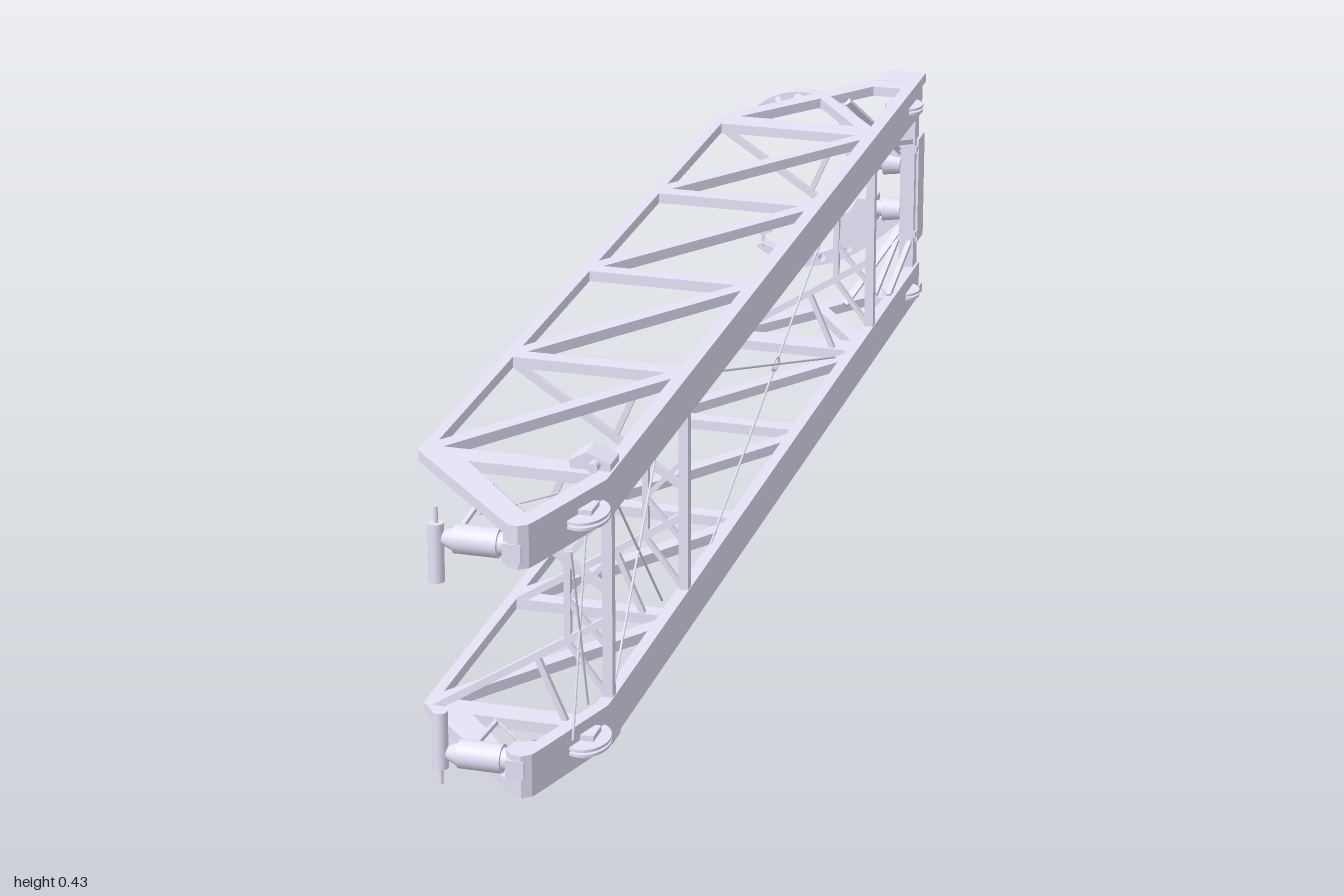
import * as THREE from 'three';

const MID = 0.2143; // mirror plane between upper and lower halves

export function createModel() {
  const root = new THREE.Group();
  root.name = 'accessArm';
  const mat = new THREE.MeshStandardMaterial({ color: 0xe6e3f8 });
  const V = (x, y, z) => new THREE.Vector3(x, y, z);

  const add = (name, geo, parent = root) => {
    const m = new THREE.Mesh(geo, mat);
    m.name = name;
    parent.add(m);
    return m;
  };
  // Align a geometry running along y between two points
  const align = (mesh, a, b) => {
    mesh.position.copy(a).add(b).multiplyScalar(0.5);
    mesh.quaternion.setFromUnitVectors(V(0, 1, 0), b.clone().sub(a).normalize());
    return mesh;
  };
  const bar = (name, a, b, w, p) => align(add(name, new THREE.BoxGeometry(w, a.distanceTo(b), w), p), a, b);
  const rod = (name, a, b, r, p, r2 = r, n = 24) =>
    align(add(name, new THREE.CylinderGeometry(r2, r, a.distanceTo(b), n), p), a, b);
  const box = (name, x0, x1, y0, y1, z0, z1, p) => {
    const m = add(name, new THREE.BoxGeometry(x1 - x0, Math.abs(y1 - y0), z1 - z0), p);
    m.position.set((x0 + x1) / 2, (y0 + y1) / 2, (z0 + z1) / 2);
    return m;
  };
  const shapeOf = (pts) => new THREE.Shape(pts.map(([x, y]) => new THREE.Vector2(x, y)));
  const extrude = (shape, depth) =>
    new THREE.ExtrudeGeometry(shape, { depth, bevelEnabled: false, curveSegments: 12 });
  // Plan shape (x, z) filling the height y0..y1
  const slab = (name, shape, y0, y1, p) => {
    const m = add(name, extrude(shape, Math.abs(y1 - y0)).rotateX(Math.PI / 2), p);
    m.position.y = Math.max(y0, y1);
    return m;
  };
  // Elevation shape (x, y) filling the depth z0..z1
  const plate = (name, shape, z0, z1, p) => {
    const m = add(name, extrude(shape, z1 - z0), p);
    m.position.z = z0;
    return m;
  };

  // Flat truss: outline with triangular openings
  const trussShape = () => {
    const s = shapeOf([[-0.14, -0.69], [0.06, -0.95], [0.126, -0.95], [0.126, 0.8],
      [0.08, 0.975], [0.062, 0.998], [0.04, 0.985], [-0.14, 0.79]]);
    const bays = [-0.667, -0.307, 0.055, 0.418, 0.782];
    const holes = [
      [[-0.105, -0.695], [0.082, -0.695], [-0.005, -0.82]],
      [[0.008, -0.835], [0.062, -0.905], [0.108, -0.905], [0.108, -0.7]],
      [[-0.065, 0.808], [0.105, 0.808], [0.06, 0.955], [0.05, 0.945]],
    ];
    for (let i = 0; i < 4; i++) {
      const a = bays[i] + (i ? 0.013 : 0.017), b = bays[i + 1] - 0.013;
      holes.push([[-0.125, a], [0.095, a], [-0.125, b - 0.02]]);
      holes.push([[0.108, a + 0.02], [0.108, b], [-0.112, b]]);
    }
    for (const h of holes) s.holes.push(new THREE.Path(h.map(([x, y]) => new THREE.Vector2(x, y))));
    return s;
  };

  for (const s of [1, -1]) {
    const side = new THREE.Group();
    side.name = s > 0 ? 'upperHalf' : 'lowerHalf';
    root.add(side);
    const Y = (y) => MID + s * (y - MID);
    const P = (x, y, z) => V(x, Y(y), z);

    slab('flatTruss', trussShape(), Y(0.389), Y(0.4045), side);

    // Deep side beam, curving in to a rounded nose
    slab('sideBeam', shapeOf([[0.111, -0.975], [0.128, -0.975], [0.128, 0.82], [0.083, 0.97],
      [0.076, 0.99], [0.064, 0.999], [0.05, 0.997], [0.04, 0.985], [0.042, 0.96], [0.068, 0.95],
      [0.111, 0.815]]), Y(0.345), Y(0.405), side);

    // Round lugs in pairs on the outer face
    for (const [z, stretch] of [[0.87, 1.4], [-0.905, 1]]) {
      for (const y of [0.371, 0.378]) {
        const lug = rod('lug', P(0.114, y - 0.002, z), P(0.114, y + 0.002, z), 0.031, side, 0.031, 32);
        lug.scale.z = stretch;
      }
    }
    box('lugHub', 0.1, 0.127, Y(0.361), Y(0.387), 0.85, 0.885, side);

    // Pivot bracket above the beam
    const bracket = shapeOf([[0.07, 0.403], [0.07, 0.416], [0.092, 0.4286], [0.125, 0.415],
      [0.125, 0.403]].map(([x, y]) => [x, Y(y)]));
    plate('pivotBracket', bracket, 0.755, 0.795, side);
    rod('pivotPin', P(0.105, 0.413, 0.75), P(0.105, 0.413, 0.81), 0.007, side);

    // Front actuator
    const act = new THREE.Group();
    act.name = 'frontActuator';
    side.add(act);
    rod('ram', P(-0.053, 0.306, 0.975), P(-0.053, 0.387, 0.975), 0.0105, act);
    rod('ramRod', P(-0.053, 0.38, 0.975), P(-0.053, 0.41, 0.975), 0.003, act);
    rod('neckCone', P(-0.045, 0.366, 0.972), P(-0.028, 0.366, 0.972), 0.009, act, 0.016);
    rod('motor', P(-0.028, 0.366, 0.97), P(0.031, 0.366, 0.97), 0.0195, act);
    rod('motorShaft', P(0.031, 0.366, 0.97), P(0.06, 0.366, 0.97), 0.015, act);
    box('mountBlock', 0.043, 0.068, Y(0.353), Y(0.379), 0.95, 1, act);
    bar('strut', P(-0.025, 0.385, 0.83), P(-0.025, 0.375, 0.96), 0.006, act);

    // Bracing wires in the front bay
    rod('wire', P(-0.03, 0.385, 0.82), P(0.07, 0.385, 0.93), 0.0015, side, 0.0015, 6);
    rod('wire', P(0.08, 0.385, 0.82), P(-0.01, 0.385, 0.93), 0.0015, side, 0.0015, 6);

    // Slanted braces to the rear post
    for (const x of [0.095, 0.117])
      bar('rearBrace', P(x, 0.345, -0.8), P(x, 0.3, -0.955), 0.008, side);
    bar('rearBrace', P(0.03, 0.39, -0.86), P(0.1, 0.28, -0.955), 0.01, side);

    // Cap on the rear post
    box('postCap', 0.06, 0.128, Y(0.39), Y(0.405), -1, -0.94, side);

    // Rear claw: curved arm with lightening holes
    const claw = new THREE.Group();
    claw.name = 'rearClaw';
    side.add(claw);
    const v2 = ([x, y]) => new THREE.Vector2(x, Y(y));
    const arm = new THREE.Shape();
    arm.moveTo(-0.145, Y(0.337));
    arm.splineThru([[-0.138, 0.345], [-0.11, 0.36], [-0.075, 0.367], [-0.03, 0.36],
      [0.02, 0.337], [0.06, 0.307], [0.1, 0.27]].map(v2));
    arm.lineTo(0.075, Y(0.26));
    arm.splineThru([[0.04, 0.293], [0, 0.322], [-0.04, 0.34], [-0.075, 0.344],
      [-0.11, 0.342], [-0.14, 0.332]].map(v2));
    for (const [x, y, r] of [[-0.078, 0.356, 0.008], [-0.113, 0.351, 0.005], [-0.035, 0.349, 0.006], [0.01, 0.328, 0.006]]) {
      const h = new THREE.Path();
      h.absarc(x, Y(y), r, 0, Math.PI * 2, true);
      arm.holes.push(h);
    }
    plate('clawArm', arm, -0.981, -0.959, claw);
    rod('clawPin', P(-0.141, 0.337, -0.985), P(-0.141, 0.337, -0.955), 0.005, claw);
    bar('clawLink', P(-0.141, 0.337, -0.97), P(-0.139, 0.315, -0.97), 0.004, claw);
    // Open triangular tip
    const tip = [P(-0.144, 0.305, -0.97), P(-0.126, 0.313, -0.97), P(-0.143, 0.321, -0.97)];
    tip.forEach((p, i) => bar('clawTip', p, tip[(i + 1) % 3], 0.004, claw));

    // Scooped block with its bushing
    const scoop = new THREE.Shape();
    scoop.moveTo(-0.006, Y(0.276));
    scoop.lineTo(-0.006, Y(0.325));
    scoop.lineTo(0.01, Y(0.325));
    scoop.lineTo(0.055, Y(0.29));
    scoop.lineTo(0.055, Y(0.235));
    scoop.lineTo(0.026, Y(0.235));
    scoop.quadraticCurveTo(0.018, Y(0.262), -0.006, Y(0.276));
    plate('scoopBlock', scoop, -0.992, -0.95, claw);
    rod('bushing', P(0.055, 0.255, -0.97), P(0.07, 0.255, -0.97), 0.013, claw);
    rod('bushing', P(0.068, 0.255, -0.97), P(0.097, 0.255, -0.97), 0.021, claw, 0.017);
  }

  // Cross frames tying the two halves together
  for (const z of [0.79, 0.425, -0.66]) {
    const frame = new THREE.Group();
    frame.name = 'crossFrame';
    root.add(frame);
    bar('post', V(0.12, 0.08, z), V(0.12, 0.35, z), 0.014, frame);
    bar('innerPost', V(0.064, 0.155, z), V(0.064, 2 * MID - 0.155, z), 0.009, frame);
    for (const s of [1, -1]) {
      const P = (x, y) => V(x, MID + s * (y - MID), z);
      bar('diagonal', P(-0.122, 0.392), P(0.118, 0.236), 0.01, frame);
      bar('zigzag', P(0.064, 0.2143), P(0.118, 0.275), 0.007, frame);
      bar('zigzag', P(0.064, 0.275), P(0.118, 0.345), 0.007, frame);
      bar('zigzag', P(0.02, 0.3), P(0.06, 0.392), 0.008, frame);
    }
  }

  // Crossed wires on the beam side
  for (const [z0, z1] of [[0.93, 0.82], [0.74, 0.47], [0.27, -0.51]])
    for (const s of [1, -1])
      rod('wire', V(0.113, MID + s * 0.133, z0), V(0.1, MID - s * 0.133, z1), 0.0017, root, 0.0017, 6);
  const ring = add('wireRing', new THREE.TorusGeometry(0.008, 0.002, 8, 24));
  ring.position.set(0.106, MID, -0.12);
  ring.rotation.y = Math.PI / 2;
  ring.scale.x = 2.2;

  // Rear post and its wide panel
  box('rearPost', 0.1, 0.124, 0.04, 2 * MID - 0.04, -0.972, -0.945);
  box('rearPanel', 0.108, 0.128, 0.125, 2 * MID - 0.125, -0.998, -0.957);
  for (const y of [0.14, 2 * MID - 0.14]) box('panelRib', 0.095, 0.127, y - 0.005, y + 0.005, -1, -0.945);

  return root;
}
